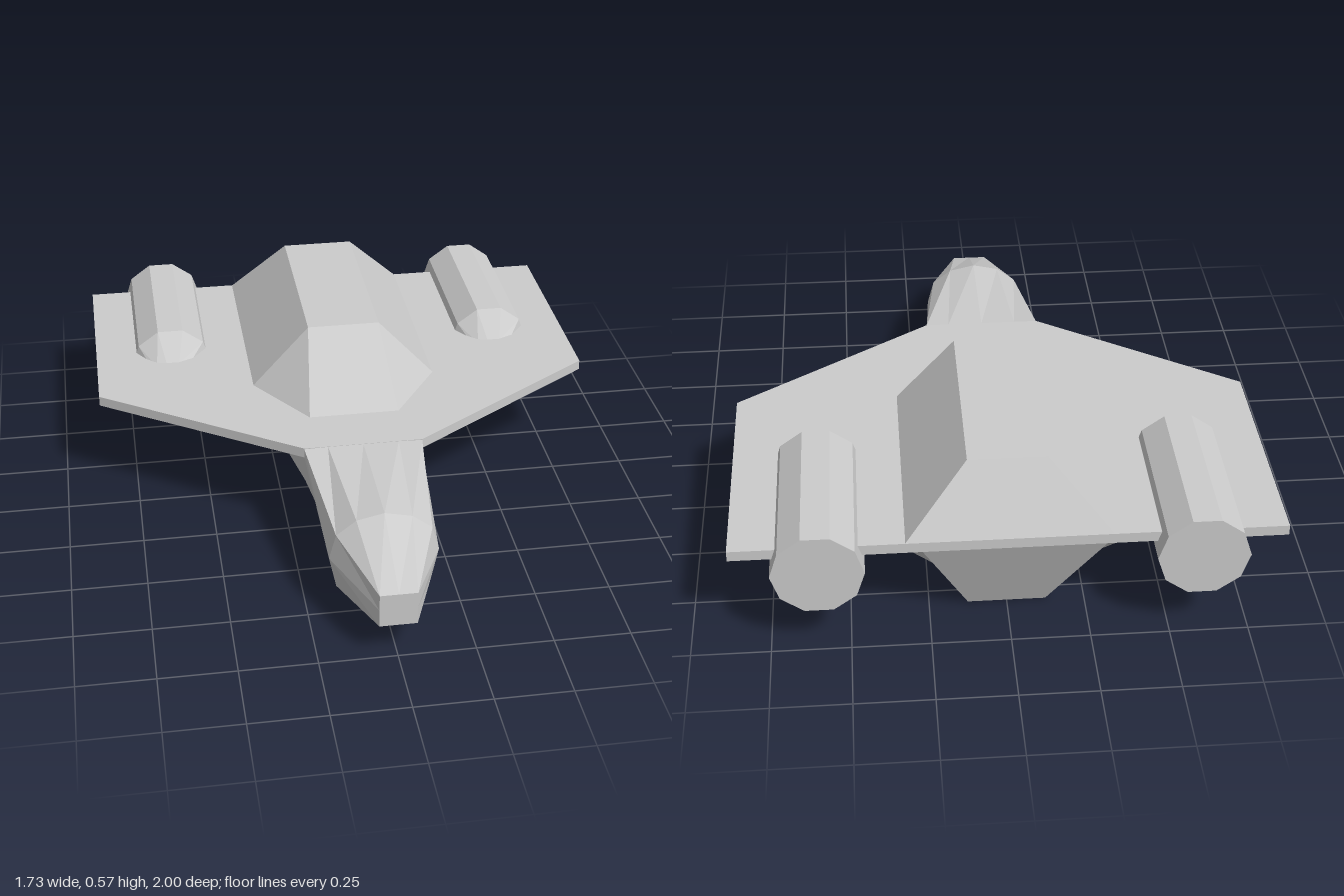
import * as THREE from 'three';

const material = new THREE.MeshStandardMaterial({ color: 0xcccccc, flatShading: true });

// Skin between rings of [x, y, z]; rings run counter-clockwise seen from the first end.
function loft(rings) {
  const pos = [];
  const tri = (...pts) => {
    const [a, b, c] = pts.map(p => new THREE.Vector3(...p));
    if (b.clone().sub(a).cross(c.clone().sub(a)).length() > 1e-7) {
      for (const p of pts) pos.push(...p);
    }
  };
  const n = rings[0].length;
  const centre = ring => [0, 1, 2].map(k => ring.reduce((s, p) => s + p[k], 0) / n);
  const first = rings[0], last = rings[rings.length - 1];
  const c0 = centre(first), c1 = centre(last);
  for (let j = 0; j < n; j++) {
    const k = (j + 1) % n;
    for (let i = 0; i < rings.length - 1; i++) {
      const a = rings[i], b = rings[i + 1];
      tri(a[j], b[j], a[k]);
      tri(a[k], b[j], b[k]);
    }
    tri(c0, first[j], first[k]);
    tri(c1, last[k], last[j]);
  }
  const geo = new THREE.BufferGeometry();
  geo.setAttribute('position', new THREE.Float32BufferAttribute(pos, 3));
  geo.computeVertexNormals();
  return geo;
}

// Full cross-section at z from a right half listed top centre to bottom centre.
function section(z, half) {
  const left = half.slice(1, -1).reverse().map(([x, y]) => [-x, y]);
  return [...half, ...left].reverse().map(([x, y]) => [x, y, z]);
}

// Closed plan outline at height y from its +x half, listed front to back.
function plan(y, half) {
  const other = half.slice().reverse().map(([x, z]) => [-x, z]);
  return [...half, ...other].map(([x, z]) => [x, y, z]);
}

function ellipse(x, y, z, rx, ry, sides) {
  return Array.from({ length: sides }, (_, i) => {
    const a = (i / sides) * Math.PI * 2;
    return [x + rx * Math.cos(a), y + ry * Math.sin(a), z];
  });
}

export function createModel() {
  const model = new THREE.Group();
  const add = (name, geo) => {
    const mesh = new THREE.Mesh(geo, material);
    mesh.name = name;
    model.add(mesh);
  };

  // Hull: square nose tip, rounded forward body, trapezoid middle, raked tail
  const middle = [[0, 0.352], [0.2, 0.352], [0.325, 0.352], [0.325, 0.32], [0.225, 0.16], [0.125, 0], [0, 0]];
  add('hull', loft([
    section(1, [[0, 0.235], [0.06, 0.235], [0.06, 0.235], [0.06, 0.18], [0.06, 0.12], [0.06, 0.12], [0, 0.12]]),
    section(0.73, [[0, 0.355], [0.09, 0.335], [0.155, 0.285], [0.178, 0.2], [0.155, 0.09], [0.1, 0.025], [0, 0]]),
    section(0.31, [[0, 0.354], [0.12, 0.354], [0.2, 0.352], [0.2, 0.32], [0.165, 0.16], [0.115, 0.005], [0, 0]]),
    section(-0.14, middle),
    section(-0.81, middle),
    section(-0.94, [[0, 0.352], [0.2, 0.352], [0.325, 0.352], [0.325, 0.32], [0.3, 0.32], [0.27, 0.32], [0, 0.32]])
  ]));

  // Upper cabin with sloping faces all round
  add('cabin', loft([
    plan(0.57, [[0.125, -0.14], [0.125, -0.14], [0.125, -0.815], [0.125, -0.815]]),
    plan(0.352, [[0.155, 0.115], [0.325, -0.14], [0.325, -0.94], [0.27, -0.94]])
  ]));

  // Flat wing plate
  const outline = new THREE.Shape([
    [-0.865, -0.94], [-0.865, -0.14], [-0.2, 0.31], [0.2, 0.31], [0.865, -0.14], [0.865, -0.94]
  ].map(([x, z]) => new THREE.Vector2(x, -z)));
  const wing = new THREE.ExtrudeGeometry(outline, { depth: 0.035, bevelEnabled: false });
  wing.rotateX(-Math.PI / 2).translate(0, 0.32, 0);
  add('wing', wing);

  // Ten-sided engines, their front ends tapering into the wing
  for (const side of [-1, 1]) {
    const x = side * 0.593;
    add(side > 0 ? 'leftEngine' : 'rightEngine', loft([
      ellipse(x, 0.33, -0.345, 0.072, 0.024, 10),
      ellipse(x, 0.297, -0.44, 0.145, 0.145, 10),
      ellipse(x, 0.297, -1, 0.145, 0.145, 10)
    ]));
  }
  return model;
}
